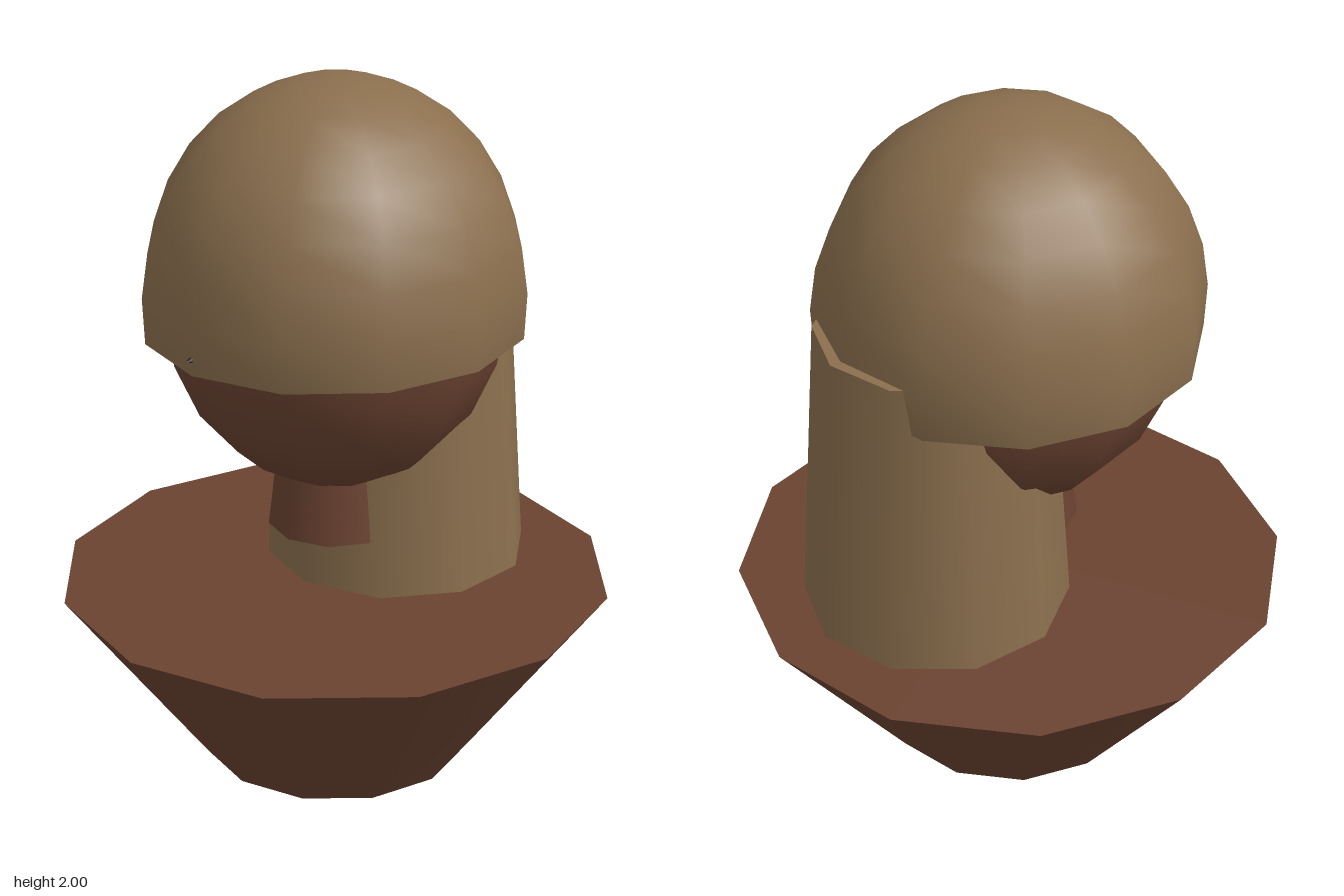
import * as THREE from 'three';

export function createModel() {
  const root = new THREE.Group();
  const tan = new THREE.MeshStandardMaterial({ name: 'tan', color: 0x8b6f4e, side: THREE.DoubleSide });
  const brown = new THREE.MeshStandardMaterial({ name: 'brown', color: 0x6b4331, side: THREE.DoubleSide });
  const dark = new THREE.MeshStandardMaterial({ name: 'dark brown', color: 0x2a1b12 });

  function add(name, geometry, material, x, y, z) {
    const mesh = new THREE.Mesh(geometry, material);
    mesh.name = name;
    mesh.position.set(x, y, z);
    root.add(mesh);
    return mesh;
  }

  // Twelve-sided flared base
  add('base', new THREE.CylinderGeometry(0.79, 0.385, 0.54, 12), brown, 0, 0.27, 0);

  // Tapered column behind the head
  add('backColumn', new THREE.CylinderGeometry(0.32, 0.38, 0.89, 10), tan, 0, 0.985, -0.26);

  // Egg-shaped head
  const head = add('head', new THREE.SphereGeometry(1, 12, 10), brown, 0, 1.387, 0);
  head.scale.set(0.48, 0.55, 0.482);

  // Open dome covering the upper head
  const dome = add('dome', new THREE.SphereGeometry(1, 12, 8, 0, Math.PI * 2, 0, Math.PI * 0.55), tan, 0, 1.39, 0);
  dome.scale.set(0.53, 0.61, 0.55);

  // Curved open strip below the chin
  const arc = THREE.MathUtils.degToRad(150);
  add('chinStrip', new THREE.CylinderGeometry(0.167, 0.191, 0.2, 4, 1, true, -arc / 2, arc), brown, 0, 0.8, 0);

  // Tiny point on the front of the dome
  const stud = add('frontStud', new THREE.ConeGeometry(0.008, 0.02, 6), dark, 0, 1.34, 0.555);
  stud.rotation.x = Math.PI / 2;

  return root;
}
